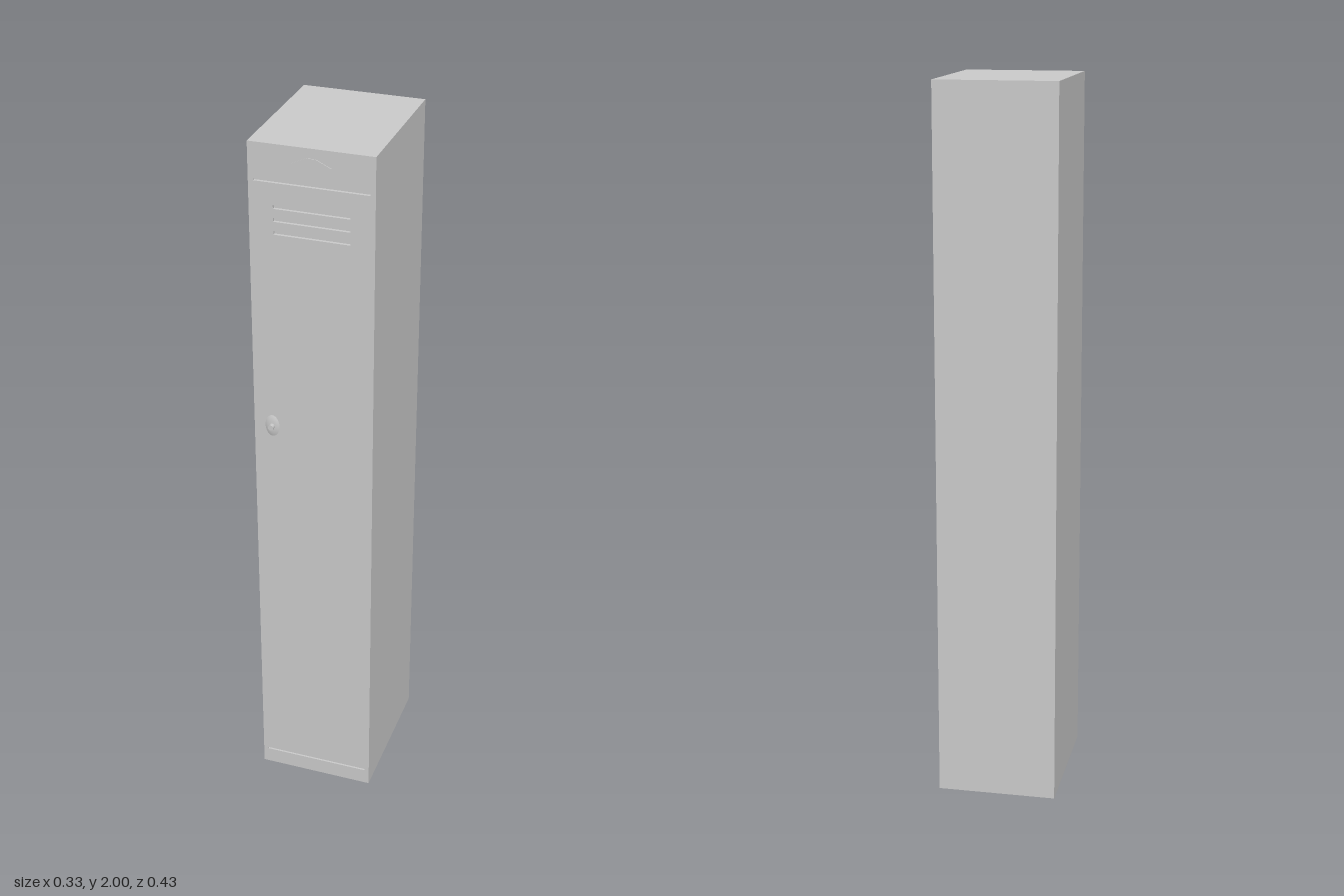
import * as THREE from 'three';

const W = 0.334, H = 2, BACK = -0.217, FRONT = 0.2, RECESS = 0.008;

export function createModel() {
  const group = new THREE.Group();
  group.name = 'locker';
  const material = new THREE.MeshStandardMaterial({ color: 0xcccccc });

  const add = (name, geometry, x, y, z) => {
    const mesh = new THREE.Mesh(geometry, material);
    mesh.name = name;
    mesh.position.set(x, y, z);
    group.add(mesh);
    return mesh;
  };

  // Cabinet body, its face forming the floor of the recessed slots
  const depth = FRONT - RECESS - BACK;
  add('body', new THREE.BoxGeometry(W, H, depth), 0, H / 2, BACK + depth / 2);

  // Front panel with door gaps and vent slots cut out
  const rectangle = (Type, w, h, y) => new Type([
    new THREE.Vector2(-w / 2, y - h / 2), new THREE.Vector2(w / 2, y - h / 2),
    new THREE.Vector2(w / 2, y + h / 2), new THREE.Vector2(-w / 2, y + h / 2),
  ]);
  const panel = rectangle(THREE.Shape, W, H, H / 2);
  for (const y of [0.05, 1.9]) panel.holes.push(rectangle(THREE.Path, 0.306, 0.005, y));
  for (const y of [1.763, 1.798, 1.833]) panel.holes.push(rectangle(THREE.Path, 0.204, 0.01, y));
  add('frontPanel', new THREE.ExtrudeGeometry(panel, { depth: RECESS, bevelEnabled: false }),
    0, 0, FRONT - RECESS);

  // Thin lozenge number plate with blunted top and bottom
  const plate = new THREE.Shape([
    [-0.053, 0], [-0.012, -0.019], [0.012, -0.019],
    [0.053, 0], [0.012, 0.019], [-0.012, 0.019],
  ].map(([x, y]) => new THREE.Vector2(x, y)));
  add('numberPlate', new THREE.ExtrudeGeometry(plate, { depth: 0.002, bevelEnabled: false }),
    0, 1.955, FRONT);

  // Lock: shallow domed escutcheon, taller than wide, with a short round knob
  const dome = [[0.02, 0], [0.016, 0.002], [0.01, 0.0038], [0, 0.0045]]
    .map(([r, y]) => new THREE.Vector2(r, y));
  const escutcheon = new THREE.LatheGeometry(dome, 24).rotateX(Math.PI / 2).scale(1, 1.6, 1);
  add('lockPlate', escutcheon, -0.116, 1.197, FRONT);
  const knob = new THREE.CylinderGeometry(0.008, 0.008, 0.014, 16).rotateX(Math.PI / 2);
  add('lockKnob', knob, -0.116, 1.197, FRONT + 0.008);

  return group;
}
